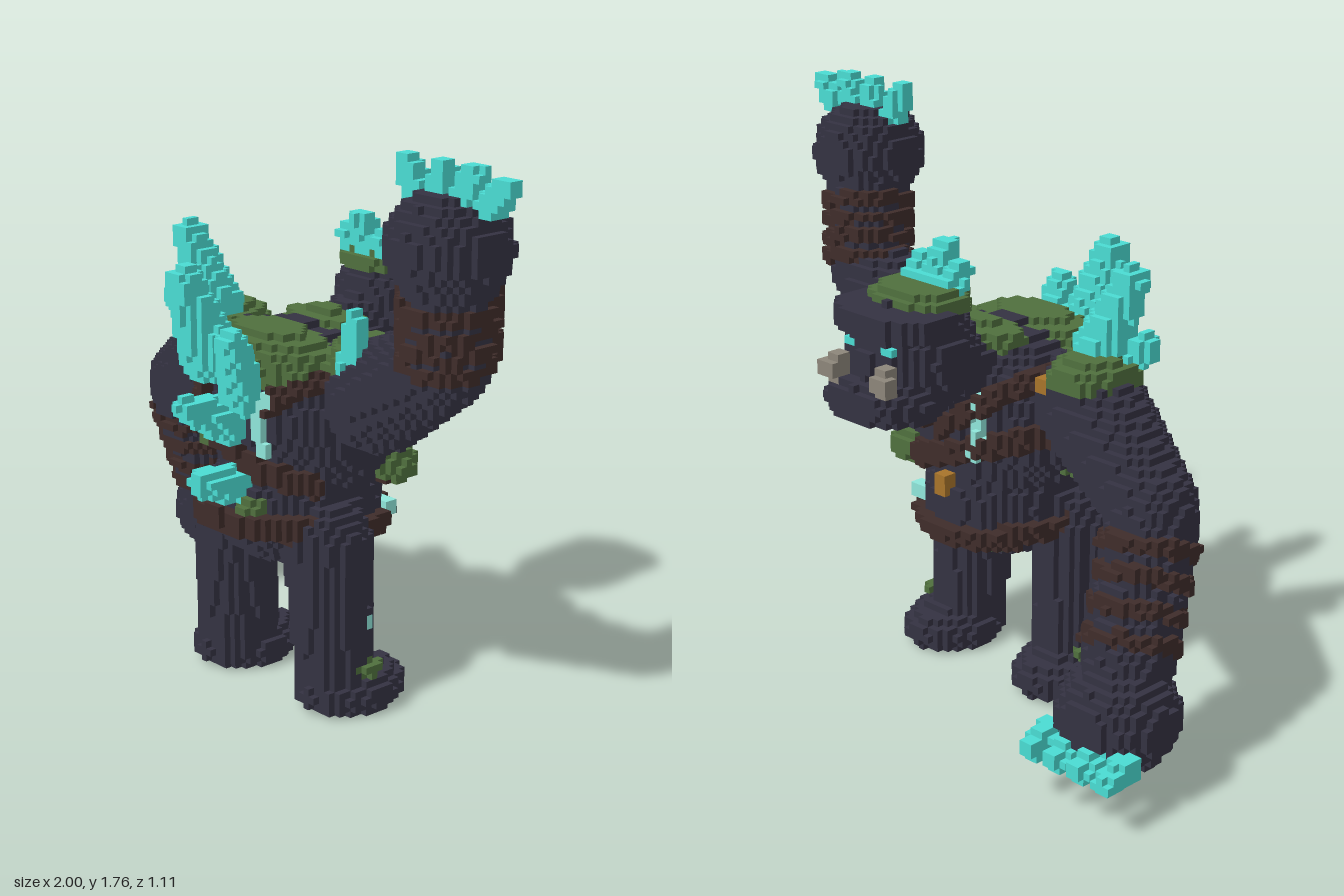
import * as THREE from 'three';

const V = 2 / 90; // edge of one voxel
const MX = -V / 2; // mirror plane of the body, through the middle of a voxel
const mat = (name, color) => Object.assign(new THREE.MeshStandardMaterial({ color }), { name });

// Solids: a test for a point plus a bounding box
const ball = (c, r) => ({
  min: c.map((v, i) => v - r[i]), max: c.map((v, i) => v + r[i]),
  test: p => p.reduce((s, v, i) => s + ((v - c[i]) / r[i]) ** 2, 0) <= 1,
});
const box = (c, s) => ({
  min: c.map((v, i) => v - s[i] / 2), max: c.map((v, i) => v + s[i] / 2),
  test: p => p.every((v, i) => Math.abs(v - c[i]) <= s[i] / 2),
});
// Round tapered limb; t0..t1 keeps only a flat-ended slice of it
const limb = (a, b, ra, rb, t0 = -9, t1 = 9) => {
  const d = b.map((v, i) => v - a[i]), len2 = d.reduce((s, v) => s + v * v, 0), R = Math.max(ra, rb);
  return {
    min: a.map((v, i) => Math.min(v, b[i]) - R), max: a.map((v, i) => Math.max(v, b[i]) + R),
    test: p => {
      const t = p.reduce((s, v, i) => s + (v - a[i]) * d[i], 0) / len2;
      if (t < t0 || t > t1) return false;
      const k = Math.min(1, Math.max(0, t));
      return Math.hypot(...p.map((v, i) => v - a[i] - d[i] * k)) <= ra + (rb - ra) * k;
    },
  };
};
const clip = (s, keep) => ({ ...s, test: p => s.test(p) && keep(p) });

export function createModel() {
  const stone = mat('darkStone', 0x343242), leather = mat('leather', 0x3f2c2a), moss = mat('moss', 0x50703e);
  const crystal = mat('crystal', 0x4adcd3), rune = mat('rune', 0x8fe6da);
  const brass = mat('brass', 0xa8742a), bone = mat('bone', 0x8d867a);
  const cells = new Map(), parts = new Map();
  const key = (i, j, k) => ((i + 100) * 256 + j + 20) * 256 + k + 100;

  // Fill a solid with voxels; later parts replace earlier ones, onlyOn paints existing voxels
  const fill = (name, material, solid, onlyOn = false) => {
    if (!parts.has(name)) parts.set(name, { material, list: [] });
    const lo = solid.min.map(v => Math.floor(v / V)), hi = solid.max.map(v => Math.ceil(v / V));
    for (let i = lo[0]; i <= hi[0]; i++)
      for (let j = Math.max(0, lo[1]); j <= hi[1]; j++)
        for (let k = lo[2]; k <= hi[2]; k++) {
          if (!solid.test([(i + 0.5) * V, (j + 0.5) * V, (k + 0.5) * V])) continue;
          const id = key(i, j, k);
          if (onlyOn && !cells.has(id)) continue;
          cells.set(id, { name, at: [i, j, k] });
        }
  };

  // Torso with flank muscles
  const chest = (g = 0) => ball([MX, 0.9, 0.07], [0.32 + g, 0.25 + g, 0.27 + g]);
  const waist = (g = 0) => ball([MX, 0.75, 0.07], [0.255 + g, 0.2 + g, 0.235 + g]);
  for (const solid of [chest(), waist(), ball([MX, 0.61, 0.09], [0.25, 0.2, 0.27])]) fill('torso', stone, solid);
  for (const s of [-1, 1]) fill('torso', stone, ball([MX + s * 0.2, 0.82, 0.07], [0.11, 0.13, 0.17]));
  fill('neck', stone, limb([MX, 1.0, -0.04], [MX, 1.1, -0.26], 0.13, 0.13));

  // Legs and feet
  for (const s of [-1, 1]) {
    const leg = s < 0 ? 'rightLeg' : 'leftLeg';
    fill(leg, stone, limb([MX + s * 0.215, 0.53, 0.155], [MX + s * 0.23, 0.1, 0.135], 0.125, 0.115));
    fill(leg, stone, ball([MX + s * 0.244, 0.056, 0.088], [0.142, 0.08, 0.175]));
    fill('legMoss', moss, ball([MX + s * 0.335, 0.14, 0.1], [0.028, 0.028, 0.05]));
  }

  // Lowered and raised arms: shoulder, elbow, fist, with wrapped forearms
  const arms = [
    { name: 'rightArm', a: [-0.37, 0.97, 0.06], b: [-0.74, 0.78, -0.07], c: [-0.832, 0.262, -0.307], bands: [0.18, 0.33, 0.49, 0.64], half: 0.036 },
    { name: 'leftArm', a: [0.35, 0.99, 0.08], b: [0.66, 1.165, 0.125], c: [0.744, 1.52, 0.205], bands: [0.08, 0.24, 0.4, 0.56], half: 0.053 },
  ];
  for (const { name, a, b, c, bands, half } of arms) {
    fill(name, stone, limb(a, b, 0.16, 0.122));
    fill(name, stone, limb(b, c, 0.122, 0.128));
    fill(name, stone, ball(c, [0.172, 0.158, 0.17]));
    for (const t of bands) fill(name + 'Wraps', leather, limb(b, c, 0.142, 0.142, t - half, t + half));
  }

  // Claws, fanned across each fist
  [-0.965, -0.87, -0.78, -0.685].forEach(x =>
    fill('rightClaws', crystal, limb([x, 0.19, -0.43], [x, 0.17, -0.5], 0.042, 0.033)));
  [[0.63, 0.605], [0.72, 0.735], [0.81, 0.85], [0.91, 0.97]].forEach(([x0, x1], i) =>
    fill('leftClaws', crystal, limb([x0, 1.66, 0.215], [x1, i === 3 ? 1.705 : 1.73, 0.22], 0.04, 0.033)));

  // Head: round skull, thin brow ledge, narrow face and jaw
  fill('head', stone, ball([MX, 1.14, -0.32], [0.192, 0.185, 0.185]));
  fill('head', stone, box([MX, 1.15, -0.4], [0.25, 0.16, 0.15]));
  fill('brow', stone, clip(box([MX, 1.25, -0.4], [0.38, 0.06, 0.2]), p =>
    Math.abs((p[0] - MX) / 0.195) ** 3 + Math.abs((p[2] + 0.32) / 0.19) ** 3 < 1));
  fill('jaw', stone, clip(ball([MX, 1.025, -0.42], [0.18, 0.085, 0.16]), p => p[2] > -0.55 && p[1] > 0.97));
  fill('chinMoss', moss, box([MX, 0.985, -0.38], [0.2, 0.045, 0.11]));
  fill('headMoss', moss, ball([MX, 1.295, -0.28], [0.155, 0.048, 0.13]));
  for (const s of [-1, 1]) {
    fill('eyes', crystal, box([MX + s * 0.08, 1.185, -0.48], [0.06, 0.035, 0.04]));
    fill('tusks', bone, box([MX + s * 0.105, 1.105, -0.51], [0.04, 0.09, 0.05]));
    fill('tusks', bone, box([MX + s * 0.105, 1.11, -0.53], [0.06, 0.045, 0.045]));
  }

  // Moss over shoulders and back
  fill('backMoss', moss, ball([MX, 1.06, 0.19], [0.25, 0.1, 0.15]));
  fill('napeMoss', moss, ball([MX, 1.125, -0.03], [0.155, 0.045, 0.09]));
  fill('shoulderMoss', moss, ball([-0.4, 1.07, 0.05], [0.12, 0.07, 0.15]));
  fill('shoulderMoss', moss, ball([0.31, 1.08, 0.07], [0.15, 0.085, 0.13]));
  fill('bodyMoss', moss, ball([-0.265, 0.755, 0.13], [0.085, 0.045, 0.11]));
  fill('bodyMoss', moss, ball([0.22, 0.73, -0.08], [0.085, 0.06, 0.08]));
  fill('bodyMoss', moss, ball([0.07, 0.63, 0.33], [0.05, 0.035, 0.04]));
  fill('bodyMoss', moss, ball([MX, 0.47, -0.02], [0.1, 0.04, 0.07]));

  // Belt, diagonal strap and V-shaped harness hugging the torso
  fill('belt', leather, clip(ball([MX, 0.61, 0.09], [0.28, 0.24, 0.325]), p =>
    Math.abs(p[1] - 0.555 - 0.13 * (p[2] - 0.08)) < 0.037));
  const strap = p => Math.abs(p[1] - 0.78 + 0.33 * p[0]) < 0.037 && Math.abs(p[2] - 0.08) > 0.12;
  fill('strap', leather, clip(chest(0.03), strap));
  fill('strap', leather, clip(waist(0.04), strap));
  fill('harness', leather, clip(chest(0.04), p =>
    Math.abs(p[1] - 0.87 - 0.7 * Math.abs(p[0] - MX)) < 0.036 && Math.abs(p[0]) > (p[2] > 0 ? 0.13 : 0.02) && p[1] < 1.12));
  for (const c of [[0.12, 0.89, -0.215], [0, 0.68, -0.185], [-0.31, 1.04, -0.07]])
    fill('buckles', brass, box(c, [0.055, 0.05, 0.045]));

  // Glowing cracks on back, chest, hip and leg
  const cracks = [
    [0.32, [[0.13, 0.98], [0.09, 0.93], [0.09, 0.87], [0.12, 0.81]]],
    [-0.17, [[-0.16, 0.98], [-0.12, 0.92], [-0.15, 0.86], [-0.12, 0.8]]],
  ];
  for (const [z, pts] of cracks)
    for (let i = 0; i < 3; i++) fill('cracks', rune, limb([...pts[i], z], [...pts[i + 1], z], 0.02, 0.02));
  fill('cracks', rune, box([0.195, 0.58, -0.09], [0.06, 0.06, 0.04]));
  fill('cracks', rune, box([0.32, 0.29, 0.1], [0.05, 0.04, 0.025]), true);

  // Crystals: base, tip, base radius, tip radius
  const shards = {
    backCrystals: [
      [[-0.1, 1.08, 0.35], [-0.115, 1.3, 0.425], 0.085, 0.052],
      [[0.04, 0.98, 0.34], [0.095, 1.16, 0.425], 0.06, 0.042],
      [[-0.02, 0.89, 0.35], [-0.012, 0.96, 0.51], 0.067, 0.036],
      [[-0.005, 0.69, 0.34], [-0.005, 0.72, 0.45], 0.055, 0.042],
    ],
    shoulderCrystals: [
      [[-0.38, 1.14, 0.1], [-0.455, 1.345, 0.135], 0.078, 0.048],
      [[-0.42, 1.1, 0.13], [-0.495, 1.15, 0.155], 0.055, 0.042],
      [[0.33, 1.1, 0.17], [0.35, 1.23, 0.175], 0.042, 0.03],
    ],
    headCrystals: [-0.07, 0, 0.07].map(x =>
      [[MX + x, 1.33, -0.225], [MX + x * 1.1, x ? 1.37 : 1.42, x ? -0.195 : -0.175], 0.045, 0.034]),
  };
  for (const [name, list] of Object.entries(shards)) for (const s of list) fill(name, crystal, limb(...s));

  // Turn the outer voxel faces of every part into one mesh
  for (const cell of cells.values()) parts.get(cell.name).list.push(cell.at);
  const group = new THREE.Group();
  group.name = 'stoneGolem';
  for (const [name, { material, list }] of parts) {
    const pos = [], nor = [], idx = [];
    for (const at of list)
      for (let ax = 0; ax < 3; ax++)
        for (const s of [-1, 1]) {
          const next = [...at];
          next[ax] += s;
          if (cells.has(key(...next))) continue;
          const u = (ax + 1) % 3, w = (ax + 2) % 3, n = pos.length / 3;
          for (const [du, dw] of [[0, 0], [1, 0], [1, 1], [0, 1]]) {
            const p = [...at], m = [0, 0, 0];
            p[ax] += s > 0 ? 1 : 0; p[u] += du; p[w] += dw;
            m[ax] = s;
            pos.push(...p.map(v => v * V));
            nor.push(...m);
          }
          idx.push(...(s > 0 ? [n, n + 1, n + 2, n, n + 2, n + 3] : [n, n + 2, n + 1, n, n + 3, n + 2]));
        }
    if (!idx.length) continue;
    const g = new THREE.BufferGeometry();
    g.setAttribute('position', new THREE.Float32BufferAttribute(pos, 3));
    g.setAttribute('normal', new THREE.Float32BufferAttribute(nor, 3));
    g.setIndex(idx);
    const mesh = new THREE.Mesh(g, material);
    mesh.name = name;
    group.add(mesh);
  }
  return group;
}
